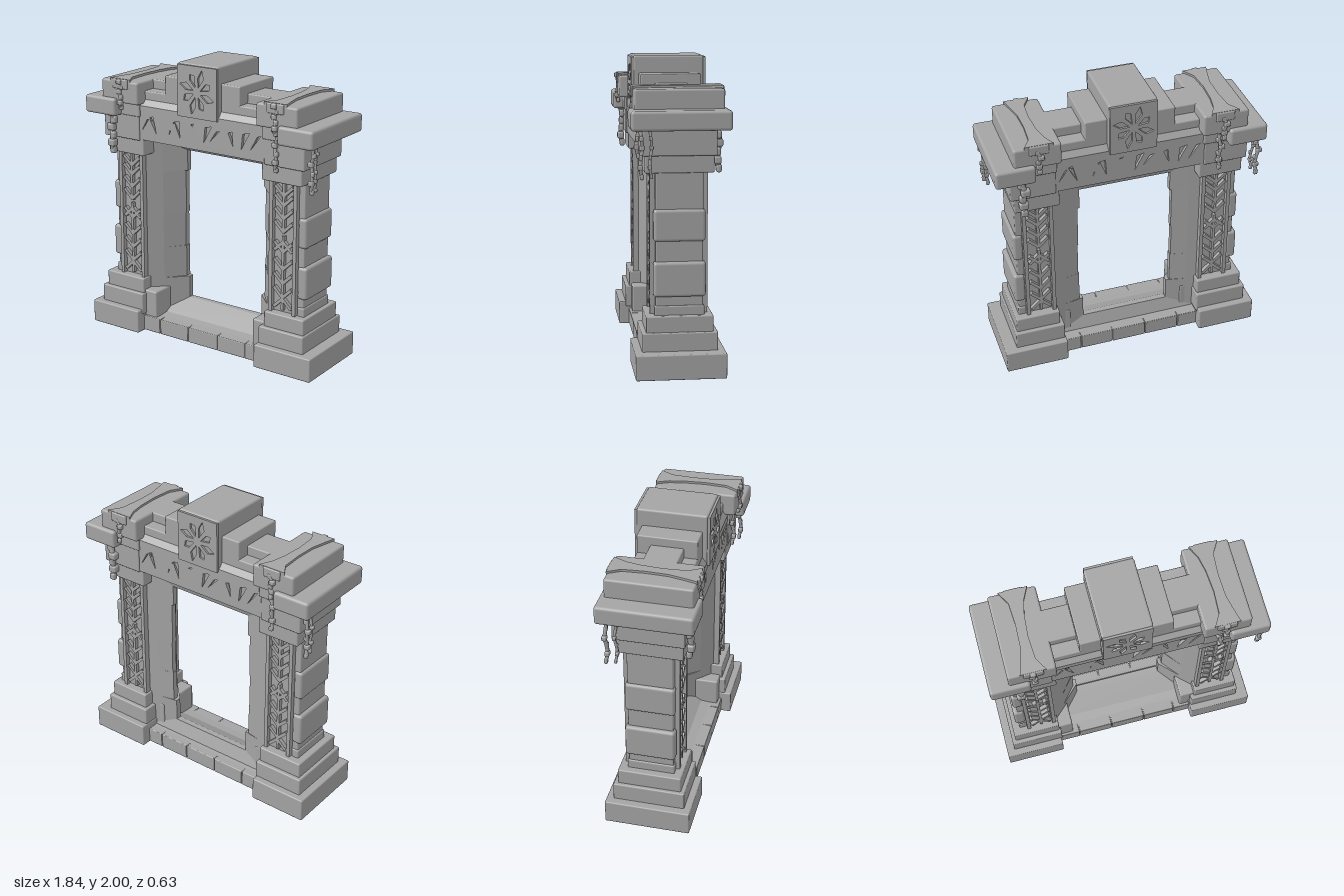
import * as THREE from 'three';
import { RoundedBoxGeometry } from 'three/addons/geometries/RoundedBoxGeometry.js';

export function createModel() {
  const root = new THREE.Group();
  root.name = 'stoneGate';
  const stone = new THREE.MeshStandardMaterial({ color: 0xa4a4a4 });
  stone.name = 'grey stone';

  const add = (name, geometry, parent = root) => {
    const mesh = new THREE.Mesh(geometry, stone);
    mesh.name = name;
    parent.add(mesh);
    return mesh;
  };
  // Softened block given by its limits
  const block = (name, x0, x1, y0, y1, z0, z1, r = 0.009, parent = root) => {
    const g = new RoundedBoxGeometry(Math.abs(x1 - x0), y1 - y0, z1 - z0, 2, r);
    g.translate((x0 + x1) / 2, (y0 + y1) / 2, (z0 + z1) / 2);
    return add(name, g, parent);
  };
  const poly = (pts) => new THREE.Shape(pts.map(([x, y]) => new THREE.Vector2(x, y)));
  const extrude = (shape, depth) => new THREE.ExtrudeGeometry(shape, { depth, bevelEnabled: false });
  // Profile in z and y, run along x
  const alongX = (name, pts, x0, x1) =>
    add(name, extrude(poly(pts.map(([z, y]) => [-z, y])), x1 - x0).rotateY(Math.PI / 2).translate(x0, 0, 0));
  // Outline in x and z, raised along y
  const alongY = (name, pts, y0, y1, parent) =>
    add(name, extrude(poly(pts.map(([x, z]) => [x, -z])), y1 - y0).rotateX(-Math.PI / 2).translate(0, y0, 0), parent);
  // Carved plate: outline with cuts
  const plate = (name, x0, x1, y0, y1, cuts, z, depth, parent) => {
    const shape = poly([[x0, y0], [x1, y0], [x1, y1], [x0, y1]]);
    cuts.forEach((c) => shape.holes.push(new THREE.Path(c.map(([x, y]) => new THREE.Vector2(x, y)))));
    return add(name, extrude(shape, depth).translate(0, 0, z), parent);
  };

  // Threshold: slabs split by joints, rising to a sill set towards the back
  const joints = [-0.52, -0.365, -0.118, 0.13, 0.36, 0.52];
  for (let i = 0; i < 5; i++) {
    block('thresholdSlab', joints[i] + 0.002, joints[i + 1] - 0.002, 0.005, 0.115, -0.22, 0.22, 0.006);
  }
  alongX('thresholdSill',
    [[0.21, 0.01], [0.21, 0.108], [0.08, 0.122], [-0.065, 0.21], [-0.105, 0.21], [-0.14, 0.118], [-0.21, 0.108], [-0.21, 0.01]],
    -0.52, 0.52);

  // Lintel with a splayed soffit, deeper from the front
  alongX('lintel',
    [[0.205, 1.42], [0.08, 1.405], [-0.065, 1.31], [-0.105, 1.31], [-0.14, 1.41], [-0.205, 1.42], [-0.205, 1.62], [0.205, 1.62]],
    -0.55, 0.55);
  alongX('lintelCornice',
    [[-0.23, 1.61], [0.23, 1.61], [0.23, 1.66], [0.2, 1.7], [-0.2, 1.7], [-0.23, 1.66]], -0.52, 0.52);
  block('upperCourse', -0.5, 0.5, 1.64, 1.76, -0.2, 0.2);
  block('shoulderCourse', -0.5, 0.5, 1.7, 1.825, -0.11, 0.11);
  block('keystoneSeat', -0.31, 0.3, 1.7, 1.885, -0.2, 0.2);

  // Keystone with an uneven star of cuts
  block('keystone', -0.175, 0.153, 1.635, 2, -0.235, 0.235, 0.015);
  const kx = -0.011, ky = 1.815;
  const starCuts = [];
  for (let i = 0; i < 8; i++) {
    const a = (i + 0.5) * Math.PI / 4;
    const tip = i % 2 ? 0.145 : 0.12;
    const at = (r, d) => [kx + Math.cos(a + d) * r, ky + Math.sin(a + d) * r * 1.1];
    starCuts.push([at(0.03, 0), at(0.09, 0.28), at(tip, 0.1), at(0.1, -0.2)]);
  }

  // Abstract wedge cuts along the lintel: centre, lean, half height
  const wedges = [[-0.44, 0.5, 0.045], [-0.38, -0.5, 0.06], [-0.235, 0.2, 0.05], [-0.17, -0.5, 0.06],
    [-0.085, 0.3, 0.06], [-0.03, -0.4, 0.05], [0.06, 0.1, 0.06], [0.12, 0.6, 0.04],
    [0.26, -0.4, 0.05], [0.36, 0.1, 0.06], [0.44, 0.5, 0.055]];
  const lintelCuts = wedges.map(([x, lean, h], i) => {
    const w = i % 3 ? 0.015 : 0.026, y = 1.535;
    return [[x - lean * h - w, y - h], [x + lean * h + w, y + h], [x + lean * h - w, y + h * 0.8]];
  });
  for (const turn of [0, Math.PI]) {
    const face = new THREE.Group();
    face.name = turn ? 'backCarving' : 'frontCarving';
    face.rotation.y = turn;
    root.add(face);
    plate('lintelCarving', -0.53, 0.53, 1.42, 1.62, lintelCuts, 0.205, 0.022, face);
    const k = plate('keystoneCarving', -0.17, 0.148, 1.64, 1.99, starCuts, 0.225, 0.024, face);
    if (turn) k.position.x = 0.022;
  }

  // Hanging vine: a wavering stem with knots
  const vine = (name, x, z, top, bottom, r = 0.013) => {
    const g = new THREE.Group();
    g.name = name;
    root.add(g);
    const pts = [];
    for (let i = 0; i <= 5; i++) {
      pts.push(new THREE.Vector3(x + 0.007 * Math.sin(i * 2.1), top + (bottom - top) * i / 5, z + 0.007 * Math.cos(i * 1.7)));
    }
    add('stem', new THREE.TubeGeometry(new THREE.CatmullRomCurve3(pts), 14, r, 6), g);
    pts.forEach((p, i) => {
      const s = r * (i % 2 ? 2.3 : 3.1);
      add('knot', new RoundedBoxGeometry(s, r * 2.6, s * 0.8, 2, r * 0.7).translate(p.x + (i % 2 ? 0.007 : -0.005), p.y, p.z), g);
    });
  };

  for (const s of [-1, 1]) {
    const tower = new THREE.Group();
    tower.name = s > 0 ? 'leftTower' : 'rightTower';
    root.add(tower);
    const part = (name, x0, x1, y0, y1, z, r) => block(name, s * x0, s * x1, y0, y1, -z, z, r, tower);

    // Stepped base
    part('plinth', s > 0 ? 0.478 : 0.508, 0.92, 0, 0.165, 0.29);
    part('lowerStep', s > 0 ? 0.485 : 0.5, s > 0 ? 0.835 : 0.865, 0.13, 0.285, 0.243);
    part('upperStep', 0.51, s > 0 ? 0.82 : 0.84, 0.25, 0.39, 0.215);
    block('jambFoot', s * 0.41, s * 0.54, 0.03, 0.305, -0.13, 0.2, 0.012, tower);

    // Pillar shaft and projecting side stones
    part('shaft', 0.53, 0.78, 0.36, 1.33, 0.152);
    part('sideStoneLow', 0.735, 0.81, 0.51, 0.735, 0.167, 0.02);
    part('sideStoneHigh', 0.735, 0.8, 0.865, 1.07, 0.165, 0.02);
    part('shaftFoot', 0.735, 0.79, 0.36, 0.45, 0.16);

    // Splayed jamb in courses, its inner edge set towards the back
    const courses = [[0.1, 0.37, 0.31], [0.37, 0.6, 0.335], [0.6, 0.85, 0.34], [0.85, 1.16, 0.335], [1.16, 1.4, 0.32]];
    courses.forEach(([y0, y1, x]) => alongY('jambCourse',
      [[0.56, 0.15], [0.53, 0.15], [0.44, 0.065], [x, -0.065], [x, -0.105], [0.45, -0.13], [0.56, -0.15]]
        .map(([px, pz]) => [s * px, pz]), y0, y1, tower));

    // Framed herringbone panels, front and back
    for (const f of [-1, 1]) {
      const bar = (name, x0, y0, x1, y1, w, z = 0.163, d = 0.032) => {
        const m = add(name, new THREE.BoxGeometry(Math.hypot(x1 - x0, y1 - y0), w, d), tower);
        m.position.set((x0 + x1) / 2, (y0 + y1) / 2, f * z);
        m.rotation.z = Math.atan2(y1 - y0, x1 - x0);
      };
      const cx = s * 0.63;
      for (const e of [-1, 1]) {
        bar('panelFrame', cx + e * 0.092, 0.38, cx + e * 0.092, 1.32, 0.026, 0.16, 0.05);
      }
      bar('panelSpine', cx, 0.41, cx, 0.93, 0.018);
      bar('panelSpine', cx, 0.95, cx, 1.29, 0.018);
      for (const y of [0.53, 0.63, 0.73, 0.85, 0.99, 1.08, 1.17, 1.235]) {
        for (const e of [-1, 1]) bar('panelLeaf', cx, y - 0.03, cx + e * 0.068, y + 0.035, 0.022);
      }
      for (const y of [0.47, 0.87]) {
        for (const e of [-1, 1]) bar('panelRoot', cx, y + 0.02, cx + e * 0.068, y - 0.045, 0.022);
      }
    }

    // Capital
    part('capitalNeck', 0.485, 0.79, 1.3, 1.45, 0.22);
    part('capitalBlock', 0.51, 0.815, 1.41, 1.6, 0.235);
    part('capitalSlab', 0.655, 0.92, 1.575, 1.7, 0.315, 0.02);
    part('capitalShoulder', 0.5, 0.7, 1.58, 1.7, 0.245);
    part('capitalTop', 0.478, 0.79, 1.67, 1.825, 0.285, 0.015);

    // Growth over the top, pinched at the middle and draped at the ends
    const growth = [[0.54, 0.285], [0.59, 0.2], [0.6, 0.05], [0.59, -0.1], [0.57, -0.2], [0.53, -0.285],
      [0.72, -0.285], [0.67, -0.2], [0.66, -0.05], [0.665, 0.1], [0.69, 0.21], [0.71, 0.285]];
    alongY('topGrowth', growth.map(([x, z]) => [s * x, z]), 1.815, 1.84, tower);
    for (const f of [-1, 1]) {
      block('drapedGrowth', s * 0.56, s * 0.69, 1.77, 1.838, f * 0.283 - 0.011, f * 0.283 + 0.011, 0.01, tower);
      vine('drapingVine', s * 0.625, f * 0.285, 1.82, 1.64);
    }
  }

  // Longer vines, repeated by a half turn about the upright axis
  for (const t of [-1, 1]) {
    vine('outerVine', t * 0.88, t * 0.25, 1.59, 1.29);
    vine('sideVine', t * 0.87, t * 0.19, 1.59, 1.29, 0.01);
    vine('thickVine', t * -0.73, t * 0.25, 1.59, 1.32, 0.02);
    vine('thinVine', t * 0.61, t * 0.25, 1.66, 1.39, 0.013);
  }

  return root;
}
